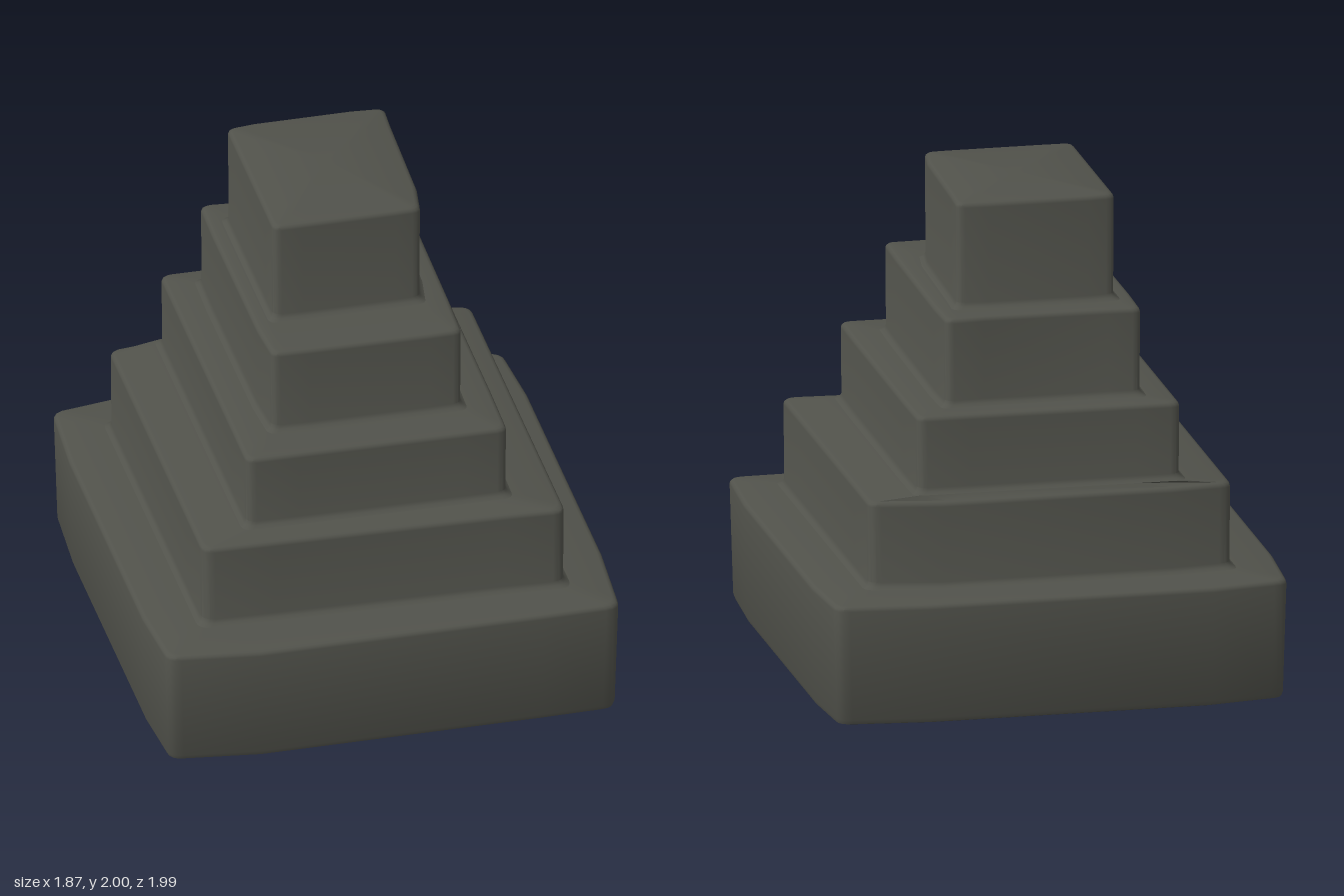
import * as THREE from 'three';
import { toCreasedNormals } from 'three/addons/utils/BufferGeometryUtils.js';

// Tiers from the ground up. y0: foot of the wall, y1: outer edge of the top.
// corners: back right, back left, front left, front right as [x, z].
// bulge: outward offsets at two points along the back, left, front and right side.
const TIERS = [
  { name: 'baseTier', y0: 0, y1: 0.495, r: 0.06,
    corners: [[-0.92, -0.96], [0.91, -0.965], [0.91, 0.99], [-0.92, 0.95]],
    bulge: [[0.04, 0.035], [0.02, 0.02], [0.01, 0.035], [0.02, 0.02]] },
  { name: 'secondTier', y0: 0.51, y1: 0.857, r: 0.05,
    corners: [[-0.73, -0.785], [0.73, -0.765], [0.73, 0.815], [-0.73, 0.765]],
    bulge: [[0.025, 0.04], [0, 0], [-0.005, 0], [0, 0]] },
  { name: 'thirdTier', y0: 0.88, y1: 1.19, r: 0.04,
    corners: [[-0.53, -0.755], [0.53, -0.745], [0.525, 0.69], [-0.53, 0.675]],
    bulge: [[0, 0], [0.003, 0.003], [0, 0], [0, 0]] },
  { name: 'fourthTier', y0: 1.2, y1: 1.555, r: 0.035,
    corners: [[-0.395, -0.65], [0.395, -0.645], [0.385, 0.51], [-0.385, 0.5]],
    bulge: [[-0.008, -0.01], [0.006, 0.004], [0.003, 0.003], [0.01, 0.006]] },
  { name: 'topTier', y0: 1.56, y1: 1.987, r: 0.035,
    corners: [[-0.32, -0.51], [0.32, -0.51], [0.28, 0.262], [-0.32, 0.262]],
    bulge: [[0.008, 0.008], [0.0, 0.012], [0.002, 0.002], [0, 0]] },
];

// Closed outline with rounded corners; every tier gets the same point count
function outline({ corners, bulge, r }) {
  const pts = [];
  const c = corners.map(([x, z]) => new THREE.Vector2(x, z));
  for (let i = 0; i < 4; i++) {
    const prev = c[(i + 3) % 4], p = c[i], next = c[(i + 1) % 4];
    const a = p.clone().add(prev.clone().sub(p).setLength(r));
    const b = p.clone().add(next.clone().sub(p).setLength(r));
    pts.push(...new THREE.QuadraticBezierCurve(a, p, b).getPoints(4));
    const dir = next.clone().sub(p).normalize();
    [0.17, 0.8].forEach((t, k) => {
      const m = p.clone().lerp(next, t);
      pts.push(m.add(new THREE.Vector2(dir.y, -dir.x).multiplyScalar(bulge[i][k])));
    });
  }
  return pts;
}

// Ring of 3D points: the outline pulled inward by d, at height y
function ring(pts, d, y) {
  const box = new THREE.Box2().setFromPoints(pts);
  const c = box.getCenter(new THREE.Vector2());
  const s = box.getSize(new THREE.Vector2()).multiplyScalar(0.5);
  return pts.map(p => [
    c.x + (p.x - c.x) * (1 - d / s.x), y, c.y + (p.y - c.y) * (1 - d / s.y)]);
}

// Ring shrunk to one point, closing a cap
const point = (pts, x, y, z) => pts.map(() => [x, y, z]);

// Skin a stack of rings listed from bottom to top
function loft(rings) {
  const n = rings[0].length, index = [];
  for (let j = 0; j < rings.length - 1; j++) {
    for (let i = 0; i < n; i++) {
      const a = j * n + i, b = j * n + (i + 1) % n;
      index.push(a, a + n, b + n, a, b + n, b);
    }
  }
  const geo = new THREE.BufferGeometry();
  geo.setAttribute('position', new THREE.Float32BufferAttribute(rings.flat(2), 3));
  geo.setIndex(index);
  return toCreasedNormals(geo, 0.7);
}

export function createModel() {
  const group = new THREE.Group();
  group.name = 'steppedPyramid';
  const stone = new THREE.MeshStandardMaterial({ color: 0x51524b });
  stone.name = 'darkStone';
  const outlines = TIERS.map(outline);

  TIERS.forEach((tier, k) => {
    const o = outlines[k], { y0, y1 } = tier, e = 0.02;
    const rings = [];
    if (k === 0) {
      // underside and its rounded lower edge
      rings.push(point(o, 0, 0, 0), ring(o, 0.035, 0.006),
        ring(o, 0.018, 0.012), ring(o, 0.012, 0.03));
    } else {
      // small fillet where the wall meets the ledge below
      rings.push(ring(o, -e, y0 - 0.004), ring(o, -0.006, y0 + 0.005), ring(o, 0.002, y0 + e));
    }
    // wall top and rounded upper edge
    for (let i = 0; i <= 3; i++) {
      const a = i * Math.PI / 6;
      rings.push(ring(o, e * (1 - Math.cos(a)), y1 - e + e * Math.sin(a)));
    }
    // gently rising ledge up to the next tier, or the crown
    const next = TIERS[k + 1];
    rings.push(next ? ring(outlines[k + 1], -e, next.y0 - 0.004) : point(o, 0, 2, -0.15));
    const mesh = new THREE.Mesh(loft(rings), stone);
    mesh.name = tier.name;
    group.add(mesh);
  });
  return group;
}
